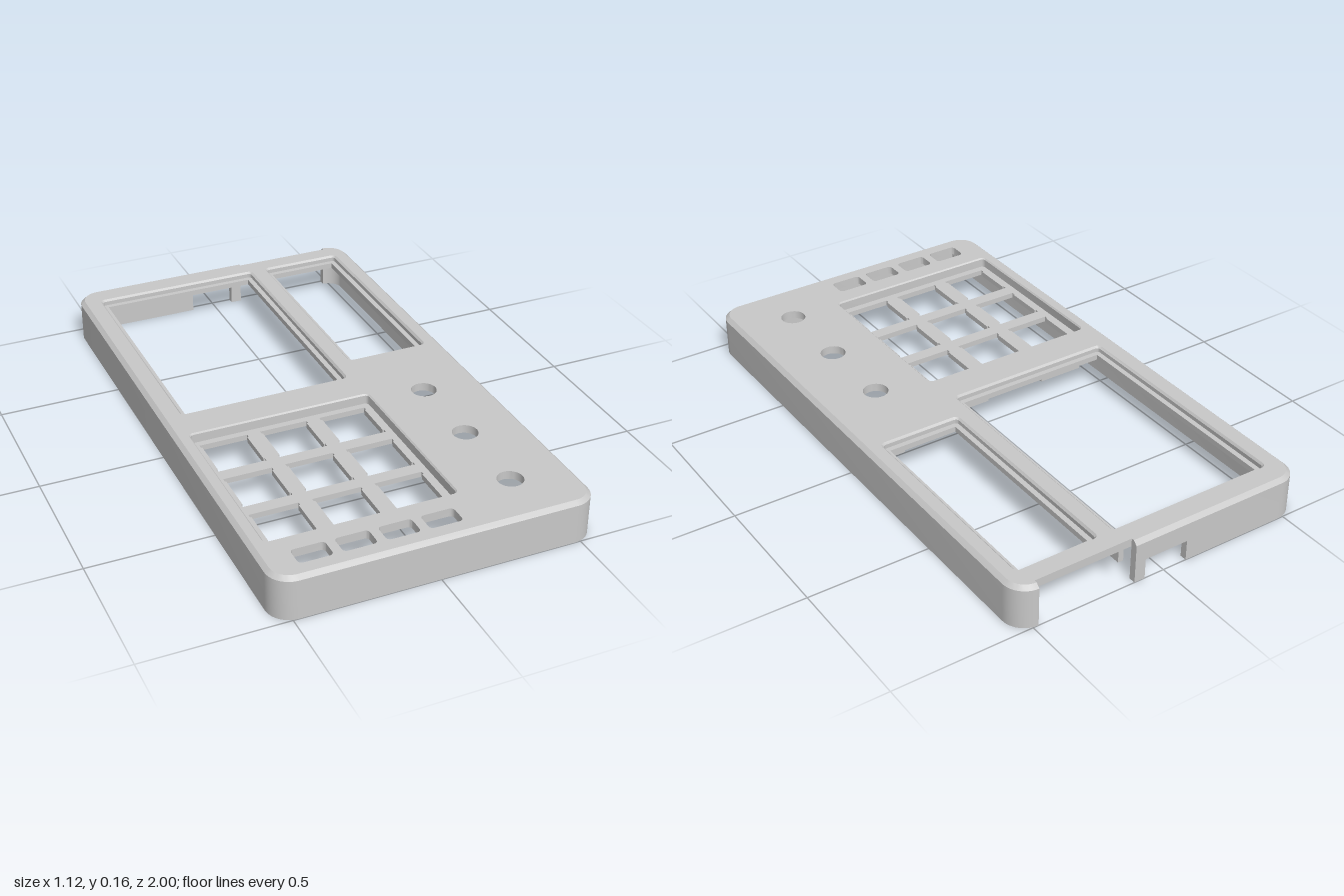
import * as THREE from 'three';
import { toCreasedNormals } from 'three/addons/utils/BufferGeometryUtils.js';

const TOP = 0.157, UNDER = 0.127, WALL = 0.025;

// Rounded rectangle corners; each point knows where it lies at a given inset d.
function roundedPath(x0, x1, z0, z1, r, steps = 4) {
  const corners = [[x1, z0, 1, -1, -90], [x1, z1, 1, 1, 0], [x0, z1, -1, 1, 90], [x0, z0, -1, -1, 180]];
  const path = [];
  for (const [x, z, sx, sz, start] of corners) {
    for (let i = 0; i <= steps; i++) {
      const a = THREE.MathUtils.degToRad(start + (90 * i) / steps);
      path.push((d) => {
        const m = Math.max(r, d), k = Math.max(r - d, 0);
        return [x - sx * m + k * Math.cos(a), z - sz * m + k * Math.sin(a)];
      });
    }
  }
  return path;
}

// Point on the straight back edge of the case
const backPoint = (x) => (d) => [x, -1 + d];

// Sweep a [inset, y] profile along a path, as a ring or as a capped strip
function sweep(path, profile, closed) {
  const pos = [], m = profile.length, n = path.length;
  const at = (i, j) => {
    const [d, y] = profile[j % m];
    const [x, z] = path[i % n](d);
    return [x, y, z];
  };
  for (let i = 0; i < (closed ? n : n - 1); i++) {
    for (let j = 0; j < m; j++) {
      const a = at(i, j), b = at(i + 1, j), c = at(i + 1, j + 1), e = at(i, j + 1);
      pos.push(...a, ...e, ...c, ...a, ...c, ...b);
    }
  }
  if (!closed) {
    for (let j = 1; j < m - 1; j++) {
      pos.push(...at(0, 0), ...at(0, j + 1), ...at(0, j));
      pos.push(...at(n - 1, 0), ...at(n - 1, j), ...at(n - 1, j + 1));
    }
  }
  const g = new THREE.BufferGeometry();
  g.setAttribute('position', new THREE.Float32BufferAttribute(pos, 3));
  return toCreasedNormals(g, 0.5);
}

// Counter-clockwise shape points from a path at inset d
const outline = (path, d = 0) => path.map((p) => {
  const [x, z] = p(d);
  return new THREE.Vector2(x, -z);
}).reverse();
const rect = (...args) => outline(roundedPath(...args));

function circle(x, z, r) {
  return Array.from({ length: 32 }, (_, i) => {
    const a = (i / 32) * Math.PI * 2;
    return new THREE.Vector2(x + r * Math.cos(a), -z + r * Math.sin(a));
  });
}

// Square key opening with small relief notches at its corners
function keyHole(cx, cz) {
  const h = 0.086, w = 0.081, t = 0.072;
  return [[w, -t], [w, t], [h, t], [h, h], [-h, h], [-h, t], [-w, t], [-w, -t], [-h, -t], [-h, -h], [h, -h], [h, -t]]
    .map(([x, z]) => new THREE.Vector2(cx + x, -(cz + z)));
}

// Horizontal slab with holes between two heights
function slab(points, holes, y0, y1) {
  const shape = new THREE.Shape(points);
  shape.holes = holes.map((h) => new THREE.Path(h));
  const g = new THREE.ExtrudeGeometry(shape, { depth: y1 - y0, bevelEnabled: false });
  g.rotateX(-Math.PI / 2).translate(0, y0, 0);
  return toCreasedNormals(g, 0.5);
}

export function createModel() {
  const group = new THREE.Group();
  const grey = new THREE.MeshStandardMaterial({ color: 0xc8c8c8 });
  grey.name = 'casing grey';
  const add = (name, geometry) => {
    const mesh = new THREE.Mesh(geometry, grey);
    mesh.name = name;
    group.add(mesh);
  };
  const box = (name, x0, x1, y0, y1, z0, z1) => {
    const g = new THREE.BoxGeometry(x1 - x0, y1 - y0, z1 - z0);
    add(name, g.translate((x0 + x1) / 2, (y0 + y1) / 2, (z0 + z1) / 2));
  };

  // Outer wall with chamfered top edge, open at the rear connector cutouts
  const wall = (y) => [[0, y], [0, 0.143], [0.015, TOP], [WALL, TOP], [WALL, y]];
  const around = roundedPath(-0.56, 0.56, -1, 1, 0.08, 12);
  add('outerWall', sweep([...around, backPoint(-0.09)], wall(0), false));
  add('rearCutoutBridge', sweep([backPoint(-0.09), backPoint(0.075)], wall(0.075), false));
  add('rearPost', sweep([backPoint(0.075), backPoint(0.115)], wall(0), false));

  // Openings: x0, x1, z0, z1
  const windows = { mainWindow: [-0.49, 0.139, -0.912, 0.004], sideWindow: [0.193, 0.503, -0.912, -0.104] };
  const keypad = [-0.512, 0.16, 0.128, 0.8];
  const holes = [...Object.values(windows), keypad].map((w) => rect(...w, 0.02));
  for (let i = 0; i < 4; i++) {
    const x = -0.455 + i * 0.147;
    holes.push(rect(x, x + 0.116, 0.867, 0.94, 0.014));
  }
  for (const z of [0.187, 0.492, 0.798]) holes.push(circle(0.347, z, 0.045));

  // Face plate
  add('facePlate', slab(outline(around, WALL), holes, UNDER, TOP));

  // Recessed window frames with a chamfered lip and inner ledge
  for (const [name, w] of Object.entries(windows)) {
    const profile = [[0, 0.115], [0, TOP], [0.007, 0.15], [0.007, 0.135], [0.026, 0.135], [0.026, 0.115]];
    add(name + 'Frame', sweep(roundedPath(...w, 0.02), profile, true));
  }

  // Sunken key tray with a thick surround beneath the plate
  const lip = [[-0.02, 0.1], [-0.02, UNDER], [0, UNDER], [0, TOP], [0.005, 0.152], [0.005, 0.1]];
  add('keyTrayLip', sweep(roundedPath(...keypad, 0.02), lip, true));
  const keys = [];
  for (let i = 0; i < 3; i++) for (let j = 0; j < 3; j++) keys.push(keyHole(-0.395 + i * 0.22, 0.243 + j * 0.22));
  add('keyTray', slab(rect(-0.507, 0.155, 0.133, 0.795, 0.015), keys, 0.1, 0.12));

  // Ribs and clips that hold the displays from beneath
  box('centreRib', 0.145, 0.165, 0.085, UNDER, -0.975, 0.025);
  box('outerRib', -0.52, -0.5, 0.085, UNDER, -0.975, 0.025);
  box('mainFrontRib', -0.5, 0.145, 0.1, UNDER, 0.006, 0.025);
  box('sideFrontRib', 0.2, 0.5, 0.1, UNDER, -0.098, -0.08);
  for (const x of [-0.42, -0.02]) box('displayClip', x, x + 0.17, 0.07, UNDER, 0.025, 0.04);
  box('sideClip', 0.4, 0.46, 0.08, UNDER, -0.095, -0.07);
  box('centreClip', 0.165, 0.23, 0.08, UNDER, -0.03, 0.02);

  // Screw bosses
  for (const [x, z, r] of [[-0.497, 0.94, 0.038], [0.497, 0.94, 0.038], [-0.49, 0.065, 0.03]]) {
    add('screwBoss', slab(circle(x, z, r), [circle(x, z, 0.014)], 0.07, UNDER));
  }
  return group;
}
